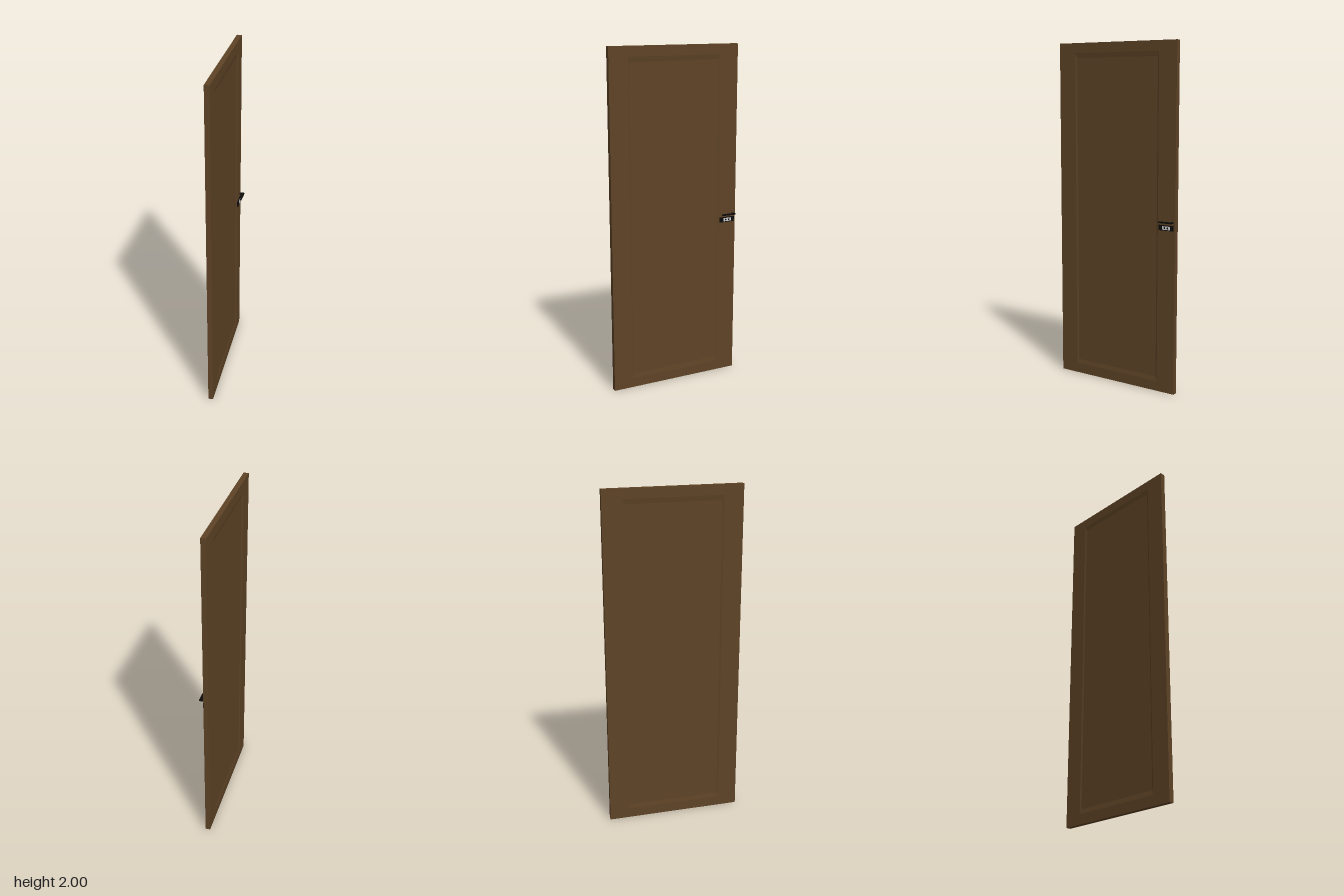
import * as THREE from 'three';

const wood = new THREE.MeshStandardMaterial({ color: 0x5e4326 });
const black = new THREE.MeshStandardMaterial({ color: 0x0c0b0a });
const silver = new THREE.MeshStandardMaterial({ color: 0xcccccc });

// Door slab lofted through rectangles from the back panel to the front panel
function slabGeometry() {
  const back = -0.029, front = 0, depth = 0.004;
  // [x, half width in z, bottom y, top y]
  const sections = [
    [back + depth, 0.277, 0.085, 1.915],
    [back, 0.287, 0.058, 1.942],
    [back, 0.4, 0, 2],
    [front, 0.4, 0, 2],
    [front, 0.287, 0.058, 1.942],
    [front - depth, 0.277, 0.085, 1.915],
  ];
  const rings = sections.map(([x, w, y0, y1]) => [[x, y0, w], [x, y0, -w], [x, y1, -w], [x, y1, w]]);
  const points = [];
  const quad = (a, b, c, d) => points.push(...a, ...b, ...c, ...a, ...c, ...d);
  for (let i = 0; i < rings.length - 1; i++) {
    for (let j = 0; j < 4; j++) {
      const k = (j + 1) % 4;
      quad(rings[i][j], rings[i][k], rings[i + 1][k], rings[i + 1][j]);
    }
  }
  quad(...rings[rings.length - 1]);
  quad(...[...rings[0]].reverse());
  const geometry = new THREE.BufferGeometry();
  geometry.setAttribute('position', new THREE.Float32BufferAttribute(points, 3));
  geometry.computeVertexNormals();
  return geometry;
}

export function createModel() {
  const model = new THREE.Group();
  const add = (name, geometry, material, parent, x = 0, y = 0, z = 0) => {
    const mesh = new THREE.Mesh(geometry, material);
    mesh.name = name;
    mesh.position.set(x, y, z);
    parent.add(mesh);
    return mesh;
  };

  add('doorPanel', slabGeometry(), wood, model);

  const handle = new THREE.Group();
  handle.name = 'handle';
  model.add(handle);

  // Lock plate with a pale inset and two keyholes
  add('lockPlate', new THREE.BoxGeometry(0.006, 0.03, 0.096), black, handle, 0.003, 0.966, -0.342);
  add('lockInset', new THREE.BoxGeometry(0.001, 0.02, 0.05), silver, handle, 0.0064, 0.966, -0.344);
  for (const z of [-0.354, -0.334]) {
    const hole = add('keyhole', new THREE.CylinderGeometry(0.005, 0.005, 0.001, 16), black, handle, 0.007, 0.966, z);
    hole.rotation.z = Math.PI / 2;
  }

  // Flat lever: short arm out of the door, then a tapering grip
  const outline = new THREE.Shape([
    [0, 0.376], [0.014, 0.376], [0.0145, 0.34], [0.017, 0.302],
    [0.025, 0.302], [0.027, 0.34], [0.027, 0.388], [0, 0.388],
  ].map(([x, y]) => new THREE.Vector2(x, y)));
  const lever = new THREE.ExtrudeGeometry(outline, { depth: 0.008, bevelEnabled: false });
  lever.rotateX(-Math.PI / 2);
  add('lever', lever, black, handle, 0, 0.995, 0);
  add('leverRib', new THREE.BoxGeometry(0.003, 0.006, 0.046), black, handle, 0.0105, 0.998, -0.355);

  return model;
}
